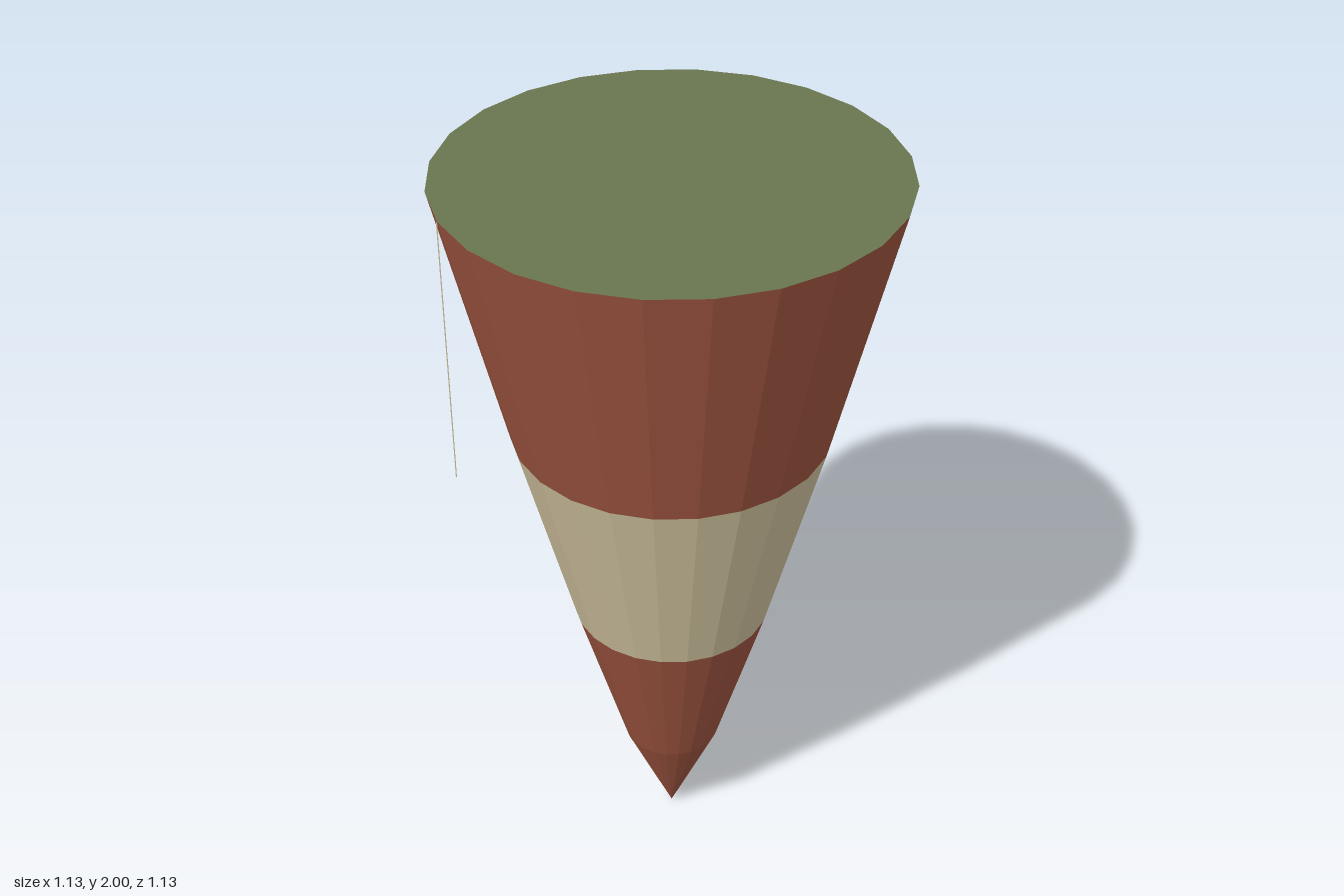
import * as THREE from 'three';

export function createModel() {
  const model = new THREE.Group();
  const SIDES = 24;

  const paint = (name, color) => {
    const m = new THREE.MeshStandardMaterial({ color, flatShading: true });
    m.name = name;
    return m;
  };
  const red = paint('brick red', 0x9a523e);
  const cream = paint('cream', 0xccbe9b);
  const green = paint('moss green', 0x69764e);

  const add = (name, geometry, material, x, y, z) => {
    const mesh = new THREE.Mesh(geometry, material);
    mesh.name = name;
    mesh.position.set(x, y, z);
    model.add(mesh);
    return mesh;
  };

  // Tapered shell, from the tip up: name, material, bottom radius and height, top radius and height
  const cx = 0.003, cz = -0.002;
  const bands = [
    ['tip', red, 0, 0.005, 0.128, 0.3],
    ['lowerBand', red, 0.128, 0.3, 0.257, 0.745],
    ['middleBand', cream, 0.257, 0.745, 0.403, 1.31],
    ['upperBand', red, 0.403, 1.31, 0.563, 1.997],
  ];
  for (const [name, material, r0, y0, r1, y1] of bands) {
    const shell = new THREE.CylinderGeometry(r1, r0, y1 - y0, SIDES, 1, true);
    add(name, shell, material, cx, (y0 + y1) / 2, cz);
  }

  // Very slightly raised lid
  add('lid', new THREE.ConeGeometry(0.563, 0.003, SIDES, 1, true), green, cx, 1.9985, cz);

  // Hair-thin upright strip hanging from the rim, edge-on to the front
  const strip = new THREE.BoxGeometry(0.001, 0.687, 0.006);
  add('rimStrip', strip, cream, -0.562, 1.6535, 0);

  return model;
}
